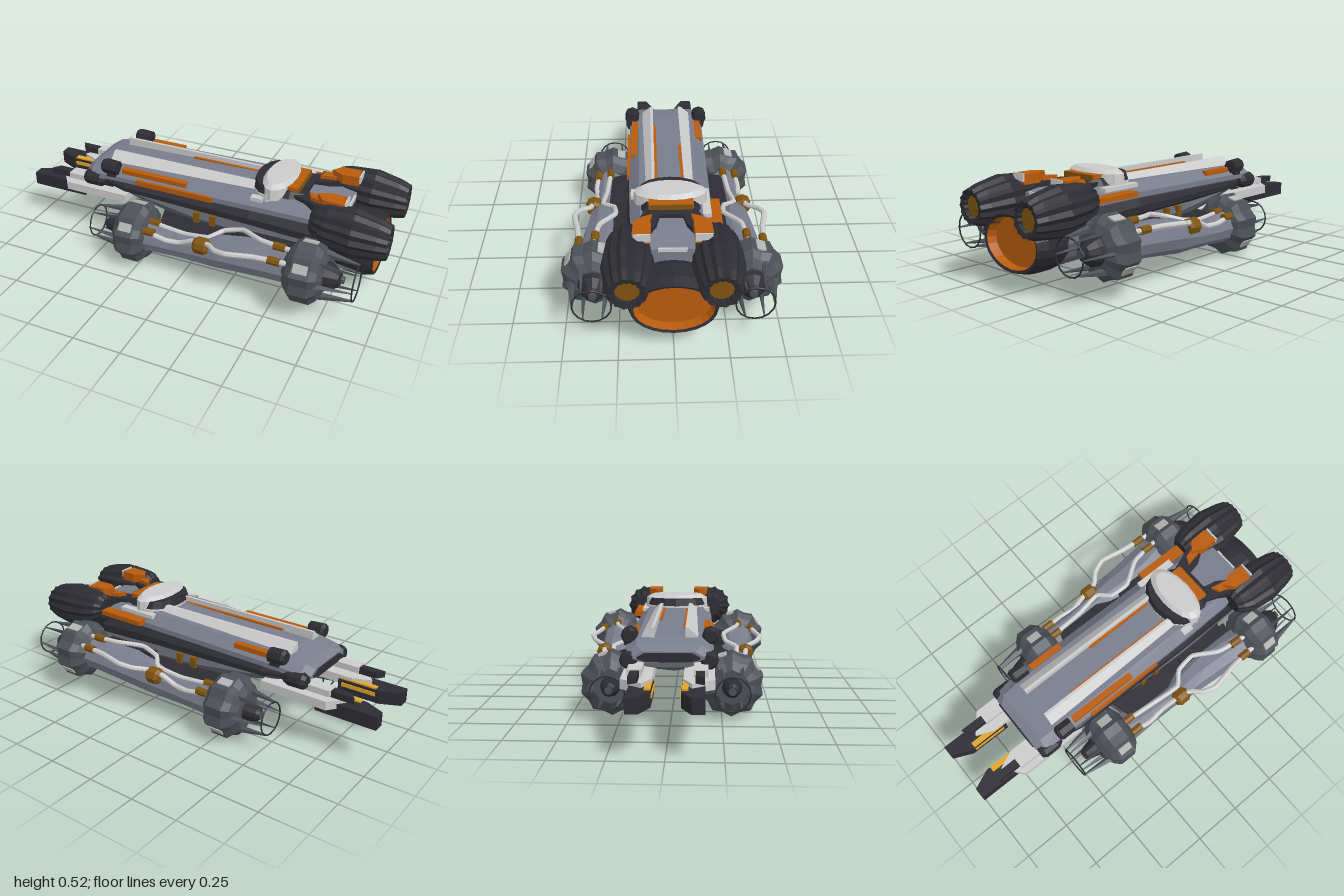
import * as THREE from 'three';

const mat = (name, color) => {
  const m = new THREE.MeshStandardMaterial({ color, flatShading: true, side: THREE.DoubleSide });
  m.name = name;
  return m;
};

export function createModel() {
  const M = {
    dark: mat('charcoal', 0x2c2c33),
    grey: mat('gunmetal', 0x4c5158),
    belly: mat('belly grey', 0x62666d),
    blue: mat('blue grey hull', 0x797d8c),
    light: mat('pale metal', 0xcbcbcb),
    pipe: mat('pipe metal', 0xb4b4b2),
    orange: mat('orange', 0xb85b0c),
    gold: mat('dark gold', 0x7f5410),
    yellow: mat('yellow', 0xe0a428),
  };
  const root = new THREE.Group();
  root.name = 'spaceship';
  const add = (name, geo, m, parent = root) => {
    const mesh = new THREE.Mesh(geo, m);
    mesh.name = name;
    parent.add(mesh);
    return mesh;
  };

  // Unit outlines given as [z, y]
  const round = (n, tooth = 1) => Array.from({ length: n }, (_, j) => {
    const a = (j / n) * Math.PI * 2, r = j % 2 ? tooth : 1;
    return [Math.cos(a) * r, Math.sin(a) * r];
  });
  const slab = [[1, -0.4], [1, 0.1], [0.75, 1], [-0.75, 1], [-1, 0.1], [-1, -0.4], [-0.7, -1], [0.7, -1]];
  const wedge = [[1, -1], [1, -0.6], [-0.5, 1], [-1, 1], [-1, -1]];
  const mirror = (outline) => outline.map(([z, y]) => [-z, y]).reverse();

  // Skin through sections [x, centreY, centreZ, radiusY, radiusZ] running along x
  const loft = (sections, outline, caps = [true, true]) => {
    const n = outline.length, v = [];
    const p = ([x, cy, cz, ry, rz = ry], j) => [x, cy + outline[j % n][1] * ry, cz + outline[j % n][0] * rz];
    for (let i = 0; i < sections.length - 1; i++) {
      for (let j = 0; j < n; j++) {
        const a = p(sections[i], j), b = p(sections[i + 1], j);
        const c = p(sections[i + 1], j + 1), d = p(sections[i], j + 1);
        v.push(...a, ...b, ...c, ...a, ...c, ...d);
      }
    }
    const s0 = sections[0], s1 = sections[sections.length - 1];
    for (let j = 0; j < n; j++) {
      if (caps[0]) v.push(...s0.slice(0, 3), ...p(s0, j), ...p(s0, j + 1));
      if (caps[1]) v.push(...s1.slice(0, 3), ...p(s1, j + 1), ...p(s1, j));
    }
    const g = new THREE.BufferGeometry();
    g.setAttribute('position', new THREE.Float32BufferAttribute(v, 3));
    g.computeVertexNormals();
    return g;
  };
  // Box from its limits
  const box = (x0, x1, y0, y1, z0, z1) => new THREE.BoxGeometry(x1 - x0, y1 - y0, Math.abs(z1 - z0))
    .translate((x0 + x1) / 2, (y0 + y1) / 2, (z0 + z1) / 2);
  // Plan outline [x, z] raised from y0 to y1
  const plate = (pts, y0, y1) => new THREE.ExtrudeGeometry(
    new THREE.Shape(pts.map(([x, z]) => new THREE.Vector2(x, -z))), { depth: y1 - y0, bevelEnabled: false },
  ).rotateX(-Math.PI / 2).translate(0, y0, 0);
  const tube = (pts, r) => new THREE.TubeGeometry(
    new THREE.CatmullRomCurve3(pts.map((p) => new THREE.Vector3(...p)), false, 'catmullrom', 0.2), 40, r, 8);

  // Hull
  add('upperHull', loft([[-0.65, 0.375, 0, 0.025, 0.16], [-0.61, 0.385, 0, 0.038, 0.2],
    [-0.5, 0.395, 0, 0.05, 0.205], [0.3, 0.405, 0, 0.055, 0.2], [0.6, 0.4, 0, 0.055, 0.19],
    [0.76, 0.385, 0, 0.05, 0.15]], slab), M.blue);
  add('noseMouth', loft([[-0.656, 0.373, 0, 0.02, 0.14], [-0.648, 0.373, 0, 0.022, 0.145]], slab), M.dark);
  add('hullSides', loft([[-0.58, 0.355, 0, 0.02, 0.18], [-0.4, 0.345, 0, 0.045, 0.21],
    [0.3, 0.335, 0, 0.07, 0.212], [0.76, 0.31, 0, 0.08, 0.2]], slab), M.dark);
  add('belly', loft([[-0.6, 0.34, 0, 0.025, 0.15], [-0.35, 0.31, 0, 0.065, 0.19], [0, 0.265, 0, 0.105, 0.205],
    [0.3, 0.25, 0, 0.13, 0.21], [0.6, 0.235, 0, 0.135, 0.2], [0.78, 0.235, 0, 0.14, 0.2]], round(12)), M.belly);
  add('rearDeck', loft([[0.38, 0.43, 0, 0.05, 0.16], [0.48, 0.44, 0, 0.05, 0.15], [0.55, 0.43, 0, 0.045, 0.12]],
    slab), M.dark);
  add('rearVent', box(0.757, 0.766, 0.425, 0.443, -0.065, 0.065), M.light);

  // Main engine with open bowl
  add('mainEngine', loft([[0.75, 0.237, 0, 0.135, 0.195], [0.79, 0.237, 0, 0.15, 0.208], [0.88, 0.237, 0, 0.15, 0.21],
    [0.935, 0.237, 0, 0.135, 0.193], [0.93, 0.237, 0, 0.122, 0.18]], round(24), [true, false]), M.dark);
  add('mainEngineBowl', loft([[0.93, 0.237, 0, 0.122, 0.18], [0.885, 0.237, 0, 0.117, 0.17]],
    round(24), [false, true]), M.orange);

  // Canopy
  const dome = (x, y, h, rx, rz, top) => new THREE.CylinderGeometry(top, 1, h, 16)
    .scale(rx, 1, rz).translate(x, y + h / 2, 0);
  add('canopyBase', dome(0.375, 0.435, 0.035, 0.115, 0.172, 0.98), M.light);
  add('canopyWindow', dome(0.37, 0.465, 0.042, 0.108, 0.165, 0.9), M.dark);
  add('canopyShell', dome(0.397, 0.45, 0.057, 0.084, 0.177, 0.98), M.light);
  add('canopyRoof', dome(0.397, 0.507, 0.019, 0.082, 0.173, 0.8), M.light);
  add('canopyCollar', box(0.46, 0.515, 0.445, 0.507, -0.105, 0.105), M.orange);
  add('canopyRearPanel', box(0.513, 0.521, 0.447, 0.507, -0.1, 0.1), M.gold);

  // Round pod with plates, nose cone and wire cage; dir is the way the cage points
  const pod = (name, x, y, z, r, dir, cageLength, cageR) => {
    const g = new THREE.Group();
    g.name = name;
    g.position.set(x, y, z);
    const prof = [[-0.1, 0, 0, r * 0.55], [-0.075, 0, 0, r * 0.82], [-0.045, 0, 0, r], [0.045, 0, 0, r],
      [0.075, 0, 0, r * 0.82], [0.095, 0, 0, r * 0.55]];
    add('podShell', loft(prof, round(20, 0.9)).rotateX(Math.PI / 10), M.grey, g);
    for (const a of [54, 126, 234, 306]) {
      add('podPlate', box(-0.035, 0.035, r * 0.9, r * 0.9 + 0.009, -0.022, 0.022)
        .rotateX(THREE.MathUtils.degToRad(a - 72)), M.pipe, g);
    }
    const cone = dir < 0
      ? [[-0.18, 0, 0, 0.022], [-0.165, 0, 0, 0.035], [-0.12, 0, 0, 0.046], [-0.08, 0, 0, 0.055]]
      : [[0.08, 0, 0, 0.075], [0.12, 0, 0, 0.066], [0.16, 0, 0, 0.04], [0.17, 0, 0, 0.022]];
    add('podCone', loft(cone, round(12)), M.dark, g);
    add('podConeTip', loft([[dir * 0.175 - 0.008, 0, 0, 0.02], [dir * 0.175 + 0.008, 0, 0, 0.018]], round(10)), M.grey, g);
    add('cageRing', new THREE.TorusGeometry(cageR, 0.004, 5, 16).rotateY(Math.PI / 2)
      .translate(dir * cageLength, 0, 0), M.dark, g);
    // Tapered cage fins
    for (let k = 0; k < 6; k++) {
      const fin = new THREE.CylinderGeometry(0.005, 0.02, cageLength - 0.065, 4).scale(1, 1, 0.6)
        .rotateZ(-dir * Math.PI / 2).rotateZ(-dir * 0.1)
        .translate(dir * (cageLength + 0.065) / 2, cageR + 0.006, 0).rotateX((k + 0.5) * Math.PI / 3);
      add('cageFin', fin, M.grey, g);
    }
    root.add(g);
  };

  for (const s of [1, -1]) {
    const side = s > 0 ? 'left' : 'right';
    const sbox = (x0, x1, y0, y1, z0, z1) => box(x0, x1, y0, y1, s * z0, s * z1);
    const splate = (pts, y0, y1) => plate(pts.map(([x, z]) => [x, s * z]), y0, y1);

    // Side nacelle
    pod(side + 'FrontPod', -0.285, 0.168, s * 0.298, 0.162, -1, 0.235, 0.084);
    pod(side + 'RearPod', 0.66, 0.235, s * 0.362, 0.155, 1, 0.24, 0.088);
    add(side + 'NacelleBody', loft([[-0.2, 0.17, s * 0.315, 0.085], [-0.05, 0.17, s * 0.33, 0.07, 0.065],
      [0.08, 0.178, s * 0.34, 0.072, 0.058], [0.2, 0.195, s * 0.335, 0.09, 0.08], [0.32, 0.21, s * 0.33, 0.09, 0.098],
      [0.48, 0.225, s * 0.345, 0.085, 0.095], [0.58, 0.235, s * 0.36, 0.085, 0.09]], round(10)), M.blue);
    add(side + 'NacellePanel', sbox(0.24, 0.56, 0.25, 0.284, 0.228, 0.28), M.dark);
    // Wing joining nacelle and hull
    const wing = [[-0.19, 0.16], [-0.15, 0.3], [0.5, 0.32], [0.57, 0.16]];
    add(side + 'Wing', splate(wing, 0.17, 0.235), M.belly);
    add(side + 'WingTop', splate(wing, 0.235, 0.244), M.dark);
    for (const x of [0.0, 0.09]) add(side + 'WingFitting', sbox(x, x + 0.03, 0.24, 0.3, 0.18, 0.215), M.gold);
    // Pipes and their fittings
    add(side + 'OuterPipe', tube([[-0.2, 0.235, s * 0.375], [-0.08, 0.215, s * 0.385], [0, 0.215, s * 0.375],
      [0.08, 0.255, s * 0.385], [0.17, 0.265, s * 0.4], [0.22, 0.28, s * 0.45], [0.29, 0.295, s * 0.475],
      [0.42, 0.3, s * 0.45], [0.6, 0.3, s * 0.435]], 0.0135), M.light);
    add(side + 'InnerPipe', tube([[-0.2, 0.25, s * 0.31], [0, 0.24, s * 0.325], [0.14, 0.265, s * 0.34],
      [0.2, 0.285, s * 0.28], [0.3, 0.31, s * 0.27], [0.42, 0.33, s * 0.345], [0.6, 0.33, s * 0.37]], 0.0125), M.light);
    add(side + 'PipeKnob', loft([[0.085, 0.24, s * 0.387, 0.03], [0.1, 0.24, s * 0.387, 0.043],
      [0.15, 0.24, s * 0.387, 0.043], [0.165, 0.24, s * 0.387, 0.03]], round(8)), M.gold);
    for (const [x, y, z] of [[-0.17, 0.235, 0.377], [-0.17, 0.25, 0.31], [0.52, 0.3, 0.44], [0.52, 0.33, 0.36]]) {
      add(side + 'PipeCollar', loft([[x - 0.03, y, s * z, 0.02], [x + 0.03, y, s * z, 0.02]], round(8)), M.gold);
    }

    // Ribbed upper engine
    const ez = s * 0.2;
    add(side + 'UpperEngine', loft([[0.62, 0.42, ez, 0.06], [0.65, 0.415, ez, 0.085], [0.7, 0.405, ez, 0.105],
      [0.83, 0.397, ez, 0.12], [0.95, 0.39, ez, 0.1], [1, 0.386, ez, 0.085], [0.995, 0.386, ez, 0.06],
      [0.965, 0.386, ez, 0.057]], round(28, 0.9), [true, false]), M.dark);
    add(side + 'UpperEngineGlow', loft([[0.96, 0.386, ez, 0.058], [0.975, 0.386, ez, 0.056]], round(18)), M.gold);
    add(side + 'EngineArm', splate([[0.48, 0.04], [0.5, 0.12], [0.66, 0.18], [0.74, 0.15], [0.62, 0.07]], 0.42, 0.475), M.dark);
    add(side + 'EngineBlock', splate([[0.62, 0.125], [0.66, 0.175], [0.755, 0.18], [0.765, 0.1], [0.68, 0.095]],
      0.47, 0.52), M.orange);
    add(side + 'EngineBlockEnd', sbox(0.764, 0.772, 0.485, 0.524, 0.098, 0.175), M.light);
    add(side + 'EngineBracket', splate([[0.57, 0.09], [0.59, 0.13], [0.65, 0.15], [0.65, 0.105]], 0.45, 0.495), M.orange);

    // Sloped deck rails and hull stripes
    const railOutline = s > 0 ? wedge : mirror(wedge);
    add(side + 'Rail', loft([[-0.52, 0.461, s * 0.102, 0.025, 0.03], [0.3, 0.461, s * 0.102, 0.025, 0.03]],
      railOutline), M.light);
    add(side + 'DeckStripe', sbox(s > 0 ? -0.35 : -0.12, 0.27, 0.452, 0.461, 0.058, 0.074), M.orange);
    add(side + 'ShoulderStripe', sbox(-0.42, s > 0 ? -0.05 : -0.23, 0.42, 0.445, 0.155, 0.192), M.orange);
    add(side + 'SidePanel', sbox(0.3, s > 0 ? 0.36 : 0.52, 0.435, 0.455, 0.15, 0.19), M.light);

    // Small nose turrets
    add(side + 'TopTurret', loft([[-0.53, 0.448, s * 0.19, 0.03], [-0.515, 0.448, s * 0.19, 0.04],
      [-0.44, 0.446, s * 0.19, 0.038]], round(8)), M.dark);
    add(side + 'TurretArm', sbox(-0.5, -0.45, 0.4, 0.44, 0.14, 0.215), M.dark);
    add(side + 'NoseThruster', loft([[-0.645, 0.355, s * 0.185, 0.03], [-0.625, 0.355, s * 0.185, 0.042],
      [-0.55, 0.355, s * 0.185, 0.042], [-0.52, 0.355, s * 0.185, 0.025]], round(10)), M.dark);

    // Forward guns
    add(side + 'GunBarrel', splate([[-1, 0.167], [-1, 0.11], [-0.9, 0.065], [-0.68, 0.065], [-0.68, 0.167]],
      0.21, 0.28), M.dark);
    add(side + 'GunStrip', sbox(-0.88, -0.7, 0.28, 0.288, 0.067, 0.095), M.yellow);
    add(side + 'GunInnerStrip', sbox(-0.88, -0.7, 0.245, 0.265, 0.06, 0.066), M.yellow);
    add(side + 'GunMount', splate([[-0.84, 0.11], [-0.76, 0.21], [-0.4, 0.21], [-0.4, 0.07], [-0.75, 0.07]],
      0.255, 0.3), M.light);
    add(side + 'GunRod', splate([[-0.88, 0.165], [-0.85, 0.125], [-0.5, 0.125], [-0.5, 0.165]], 0.305, 0.338), M.dark);
    add(side + 'GunRodSleeve', sbox(-0.76, -0.55, 0.31, 0.342, 0.115, 0.18), M.light);
  }
  // Stripes found on one flank only
  add('leftSideStripe', box(-0.33, 0.1, 0.382, 0.41, 0.19, 0.213), M.orange);
  add('rightRearStripe', box(0.35, 0.64, 0.4, 0.425, -0.24, -0.18), M.orange);

  return root;
}
